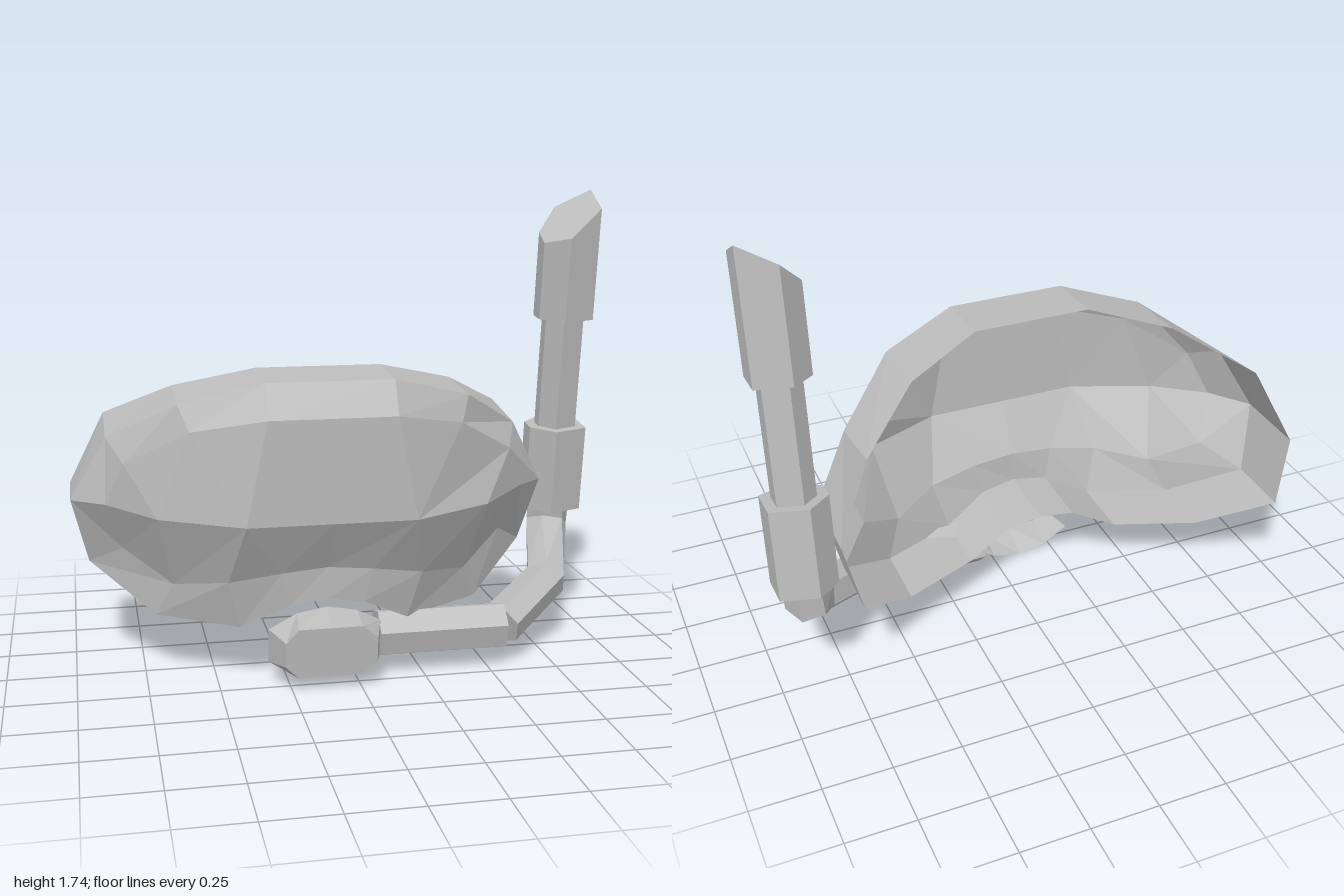
import * as THREE from 'three';

const grey = new THREE.MeshStandardMaterial({ color: 0xbcbcbc, flatShading: true, side: THREE.DoubleSide });
grey.name = 'grey';

// Skins a list of closed rings of Vector3; caps are 'both', 'end' or none.
function loft(rings, caps) {
  const pos = [];
  const tri = (...pts) => pts.forEach((p) => pos.push(p.x, p.y, p.z));
  const n = rings[0].length;
  const cap = (ring, atEnd) => {
    const c = ring.reduce((s, p) => s.add(p), new THREE.Vector3()).divideScalar(n);
    ring.forEach((p, j) => {
      const q = ring[(j + 1) % n];
      if (atEnd) tri(c, q, p); else tri(c, p, q);
    });
  };
  for (let i = 0; i < rings.length - 1; i++) {
    for (let j = 0; j < n; j++) {
      const k = (j + 1) % n, a = rings[i], b = rings[i + 1];
      tri(a[j], b[j], a[k]);
      tri(a[k], b[j], b[k]);
    }
  }
  if (caps === 'both') cap(rings[0], false);
  if (caps) cap(rings[rings.length - 1], true);
  const geo = new THREE.BufferGeometry();
  geo.setAttribute('position', new THREE.Float32BufferAttribute(pos, 3));
  geo.computeVertexNormals();
  return geo;
}

// Mirrors half an outline (top centre round to bottom centre) into a full ring.
function mirrorRing(half) {
  const right = half.map(([x, y, z]) => new THREE.Vector3(x, y, z));
  const left = half.slice(0, -1).reverse().map(([x, y, z]) => new THREE.Vector3(-x, y, z));
  return [...right, ...left];
}

// Six-sided tube swept along a path.
function sweep(path, radius) {
  const pts = path.map((p) => new THREE.Vector3(...p));
  const ref = new THREE.Vector3(0.65, 0, 0.75);
  return loft(pts.map((p, i) => {
    const t = new THREE.Vector3();
    if (i > 0) t.add(p.clone().sub(pts[i - 1]).normalize());
    if (i < pts.length - 1) t.add(pts[i + 1].clone().sub(p).normalize());
    t.normalize();
    const u = ref.clone().addScaledVector(t, -ref.dot(t)).normalize();
    const v = t.clone().cross(u);
    return Array.from({ length: 6 }, (_, k) => {
      const a = -(Math.PI / 4 + k * Math.PI / 3);
      return p.clone().addScaledVector(u, radius * Math.cos(a)).addScaledVector(v, radius * Math.sin(a));
    });
  }), 'both');
}

// Upright prism of the barrel's six-sided section; the top may follow a rule.
const section = [[.1, .065], [-.025, .105], [-.105, .035], [-.105, -.035], [-.025, -.105], [.1, -.065]];
function prism(scale, y0, topY) {
  const ring = (height) => section.map(([x, z]) => new THREE.Vector3(x * scale, height(x, z), z * scale));
  return loft([ring(() => y0), ring(topY)], 'both');
}

export function createModel() {
  const model = new THREE.Group();
  const add = (name, geo, parent = model) => {
    const mesh = new THREE.Mesh(geo, grey);
    mesh.name = name;
    parent.add(mesh);
  };

  // Mask: open shell, wrapped back at the sides and notched for the nose
  const backRim = [[.225, 1.135, .08], [.515, 1.06, -.05], [.755, .93, -.27], [.885, .65, -.35],
    [.825, .40, -.385], [.595, .24, -.19], [.305, .22, -.05], [.135, .305, -.02], [0, .325, -.02]];
  const frontRim = [[.225, 1.12, .33], [.515, 1.04, .23], [.755, .89, 0], [.885, .65, -.06],
    [.825, .40, -.13], [.595, .24, .06], [.305, .22, .2], [.135, .305, .25], [0, .325, .26]];
  const lensEdge = [[.225, 1.0, .385], [.48, .95, .28], [.7, .82, .14], [.765, .66, .07],
    [.705, .48, 0], [.535, .37, .12], [.35, .40, .24], [.165, .43, .265], [0, .445, .265]];
  const lensRidge = [.3, .3, .59, .59, .59, .59, .3, .3, 0]
    .map((x) => (x > .5 ? [x, .64, .24] : [x, .63, .375]));
  const mask = new THREE.Group();
  mask.name = 'mask';
  mask.position.x = -0.115;
  model.add(mask);
  const [r0, r1, r2, r3] = [backRim, frontRim, lensEdge, lensRidge].map(mirrorRing);
  add('maskSkirt', loft([r0, r1]), mask);
  add('maskLens', loft([r1, r2, r3]), mask);

  // Snorkel barrel, leaning forward, with a slanted cut at the top
  const barrel = new THREE.Group();
  barrel.name = 'snorkelBarrel';
  barrel.position.set(0.89, 0.49, -0.283);
  barrel.rotation.x = 0.127;
  model.add(barrel);
  add('lowerCollar', prism(1.06, 0, () => 0.34), barrel);
  add('upperTube', prism(0.7, 0.3, () => 0.8), barrel);
  add('topCap', prism(1, 0.775, (x, z) => 1.157 + 0.7 * x - 0.4 * z), barrel);

  // Bent tube leading to the mouth
  add('bentTube', sweep([[.89, .52, -.28], [.885, .42, -.285], [.805, .25, -.05], [.56, .15, .155]], 0.083));
  add('mouthTube', sweep([[.565, .15, .155], [.085, .15, .155]], 0.09));

  // Mouthpiece: shallow cup, open towards the back
  const outline = [[0, .135], [.11, .115], [.2, .07], [.2, -.065], [.11, -.12], [0, -.14],
    [-.11, -.12], [-.21, -.065], [-.21, .06], [-.11, .115]];
  const face = [[0, .095], [.11, .095], [.165, .045], [.165, -.045], [.11, -.09], [0, -.09],
    [-.12, -.09], [-.165, -.045], [-.165, .045], [-.12, .095]];
  const ring = (pts, z) => pts.map(([x, y]) => new THREE.Vector3(x - 0.11, y + 0.145, z + y * 0.1));
  add('mouthpiece', loft([ring(outline, .195), ring(face, .32)], 'end'));

  return model;
}
